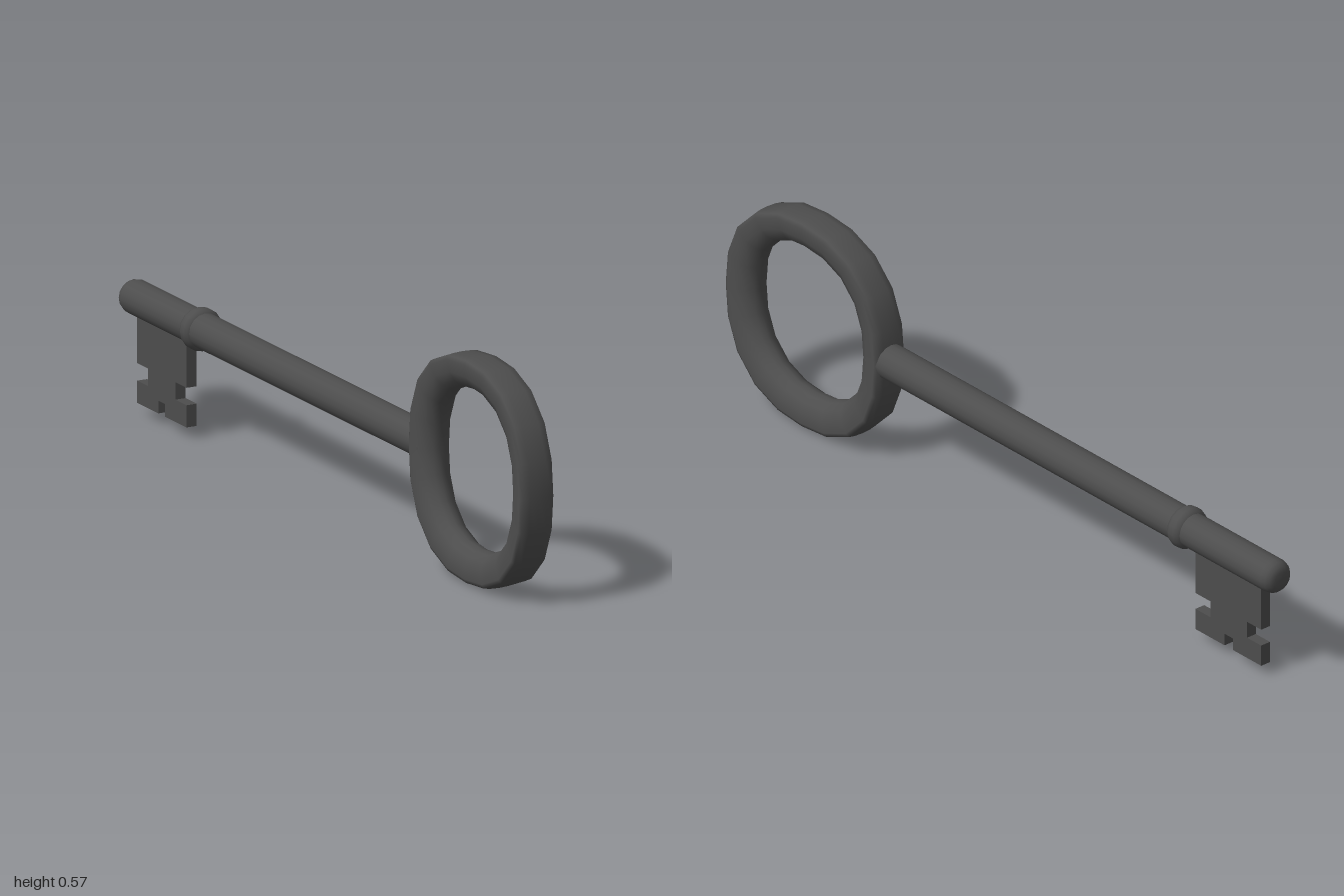
import * as THREE from 'three';

const AXIS_Y = 0.286;

// Round part along the shank axis; profile points are [radius, distance toward the back]
function turned(name, profile, material) {
  const geometry = new THREE.LatheGeometry(profile.map(([r, d]) => new THREE.Vector2(r, d)), 16);
  geometry.rotateX(-Math.PI / 2);
  const mesh = new THREE.Mesh(geometry, material);
  mesh.name = name;
  mesh.position.y = AXIS_Y;
  return mesh;
}

// Slightly squared ring swept from a flat-sided, soft-cornered section
function bowGeometry() {
  const section = [ // [radius, x]
    [0.284, 0], [0.283, 0.024], [0.28, 0.042], [0.27, 0.047], [0.24, 0.045], [0.217, 0.034], [0.204, 0.016],
    [0.2, 0], [0.204, -0.016], [0.217, -0.034], [0.24, -0.045], [0.27, -0.047], [0.28, -0.042], [0.283, -0.024],
  ];
  const segments = 20, n = section.length, power = 2.35;
  const positions = [], indices = [];
  for (let i = 0; i < segments; i++) {
    const a = (i / segments) * Math.PI * 2;
    const c = Math.cos(a), s = Math.sin(a);
    const k = Math.pow(Math.abs(c) ** power + Math.abs(s) ** power, -1 / power);
    for (const [r, x] of section) positions.push(x, s * r * k, c * r * k);
    for (let j = 0; j < n; j++) {
      const p = i * n + j, q = i * n + (j + 1) % n;
      const p2 = ((i + 1) % segments) * n + j, q2 = ((i + 1) % segments) * n + (j + 1) % n;
      indices.push(p, q, p2, q, q2, p2);
    }
  }
  const geometry = new THREE.BufferGeometry();
  geometry.setAttribute('position', new THREE.Float32BufferAttribute(positions, 3));
  geometry.setIndex(indices);
  geometry.computeVertexNormals();
  return geometry;
}

export function createModel() {
  const group = new THREE.Group();
  group.name = 'key';
  const iron = new THREE.MeshStandardMaterial({ color: 0x4d4d4d });
  iron.name = 'dark iron';

  // Ring handle
  const bow = new THREE.Mesh(bowGeometry(), iron);
  bow.name = 'bow';
  bow.position.set(0, 0.284, 0.716);
  group.add(bow);

  // Shank, collar and rounded tip
  group.add(turned('shank', [[0, -0.48], [0.045, -0.48], [0.045, 0.66]], iron));
  group.add(turned('collar', [
    [0.042, 0.632], [0.05, 0.636], [0.054, 0.646], [0.054, 0.662], [0.05, 0.672], [0.042, 0.677],
  ], iron));
  group.add(turned('tip', [
    [0.044, 0.655], [0.044, 0.972], [0.041, 0.985], [0.033, 0.995], [0.02, 1], [0, 1],
  ], iron));

  // Notched bit: outline as [distance toward the back, height]
  const outline = [
    [0.7, 0.28], [0.7, 0.128], [0.755, 0.128], [0.755, 0.084], [0.7, 0.084], [0.7, 0.028],
    [0.807, 0.028], [0.807, 0.06], [0.838, 0.06], [0.838, 0.028], [0.942, 0.028],
    [0.942, 0.084], [0.89, 0.084], [0.89, 0.128], [0.942, 0.128], [0.942, 0.28],
  ];
  const shape = new THREE.Shape(outline.map(([d, y]) => new THREE.Vector2(d, y)));
  const thickness = 0.028;
  const bitGeometry = new THREE.ExtrudeGeometry(shape, { depth: thickness, bevelEnabled: false });
  bitGeometry.translate(0, 0, -thickness / 2);
  bitGeometry.rotateY(Math.PI / 2);
  const bit = new THREE.Mesh(bitGeometry, iron);
  bit.name = 'bit';
  group.add(bit);

  return group;
}
